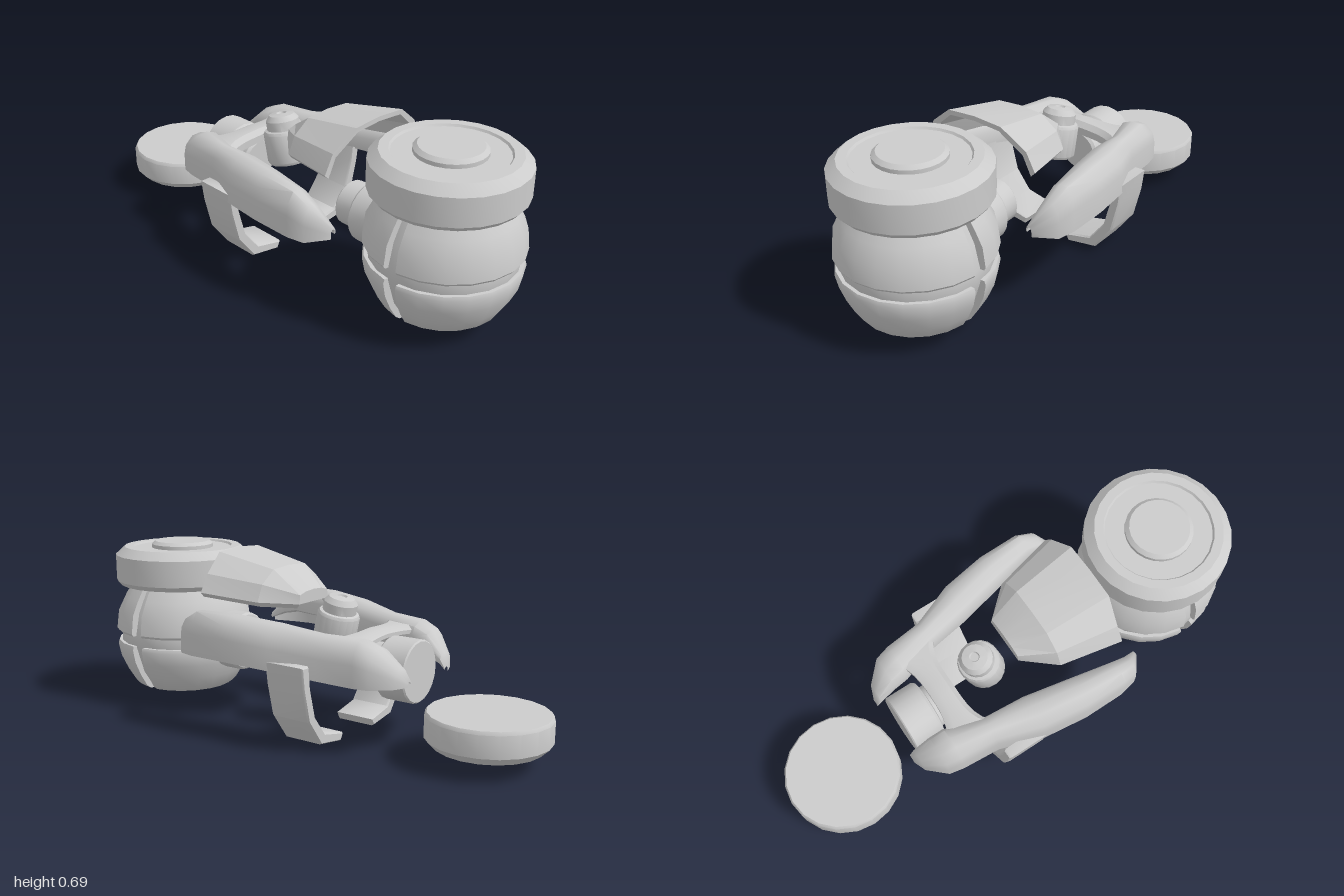
import * as THREE from 'three';
import { toCreasedNormals } from 'three/addons/utils/BufferGeometryUtils.js';

const mat = new THREE.MeshStandardMaterial({ color: 0xcccccc, side: THREE.DoubleSide });

// Skin closed cross-sections; each lists an outer line, then the inner line backwards
function loft(sections) {
  const n = sections[0].length, last = sections.length - 1;
  const pos = sections.flat(2), idx = [];
  const quad = (a, b, c, d) => idx.push(a, b, c, a, c, d);
  for (let s = 0; s < last; s++) {
    for (let i = 0; i < n; i++) {
      const j = (i + 1) % n, a = s * n, b = a + n;
      quad(a + i, a + j, b + j, b + i);
    }
  }
  // end caps join outer and inner lines
  for (let i = 0; i < n / 2 - 1; i++) {
    const k = n - 1 - i, e = last * n;
    quad(i, k, k - 1, i + 1);
    quad(e + i, e + i + 1, e + k - 1, e + k);
  }
  // turn faces outward if the enclosed volume is negative
  let volume = 0;
  const p = (i) => new THREE.Vector3().fromArray(pos, idx[i] * 3);
  for (let i = 0; i < idx.length; i += 3) volume += p(i).dot(p(i + 1).cross(p(i + 2)));
  if (volume < 0) idx.reverse();
  const g = new THREE.BufferGeometry();
  g.setAttribute('position', new THREE.Float32BufferAttribute(pos, 3));
  g.setIndex(idx);
  return g;
}

const lathe = (pts, sides = 20) =>
  new THREE.LatheGeometry(pts.map(([r, y]) => new THREE.Vector2(r, y)), sides);

export function createModel() {
  const model = new THREE.Group();
  const add = (name, geo, x = 0, y = 0, z = 0, crease = 0.6) => {
    const m = new THREE.Mesh(toCreasedNormals(geo, crease), mat);
    m.name = name;
    m.position.set(x, y, z);
    model.add(m);
    return m;
  };

  // Round pot: recessed core, open at the base
  const potX = 0.7;
  add('potCore', lathe([
    [0, 0.13], [0.12, 0.13], [0.12, 0.075], [0.19, 0.08], [0.235, 0.15],
    [0.27, 0.26], [0.27, 0.31], [0.25, 0.4], [0.2, 0.5], [0, 0.5],
  ]), potX);

  // Pot shell: four panels with an equator groove and a front and back groove
  const lower = [[0.2, 0.07], [0.22, 0.085], [0.25, 0.135], [0.277, 0.195], [0.288, 0.25], [0.283, 0.265]];
  const upper = [[0.283, 0.308], [0.29, 0.318], [0.28, 0.395], [0.25, 0.455], [0.215, 0.51]];
  for (const [name, line] of [['lowerPanel', lower], ['upperPanel', upper]]) {
    const loop = [...line, ...line.map(([r, y]) => [r - 0.04, y]).reverse()];
    for (const side of [0, Math.PI]) {
      const sections = [];
      for (let i = 0; i <= 10; i++) {
        const a = side - Math.PI / 2 + 0.09 + (i / 10) * (Math.PI - 0.18);
        sections.push(loop.map(([r, y]) => [r * Math.cos(a), y, r * Math.sin(a)]));
      }
      add(name, loft(sections), potX);
    }
  }

  // Lid with a ring groove and a raised centre
  add('potLid', lathe([
    [0, 0.505], [0.265, 0.505], [0.282, 0.525], [0.282, 0.632], [0.245, 0.665],
    [0.21, 0.665], [0.204, 0.657], [0.13, 0.657], [0.13, 0.672], [0.115, 0.685], [0, 0.685],
  ], 24), potX);

  // Separate flat disc with a recessed underside
  add('looseDisc', lathe([
    [0, 0.042], [0.1, 0.042], [0.125, 0.058], [0.125, 0.09], [0.175, 0.09],
    [0.185, 0.065], [0.2, 0.065], [0.23, 0.095], [0.23, 0.178], [0.222, 0.19], [0, 0.19],
  ]), -0.77);

  // Side arms: inverted channels. Stations are x, inner z, outer z, bottom y, top y
  const stations = [
    [-0.52, 0.12, 0.15, 0.27, 0.29], [-0.5, 0.12, 0.2, 0.27, 0.335],
    [-0.43, 0.125, 0.265, 0.27, 0.41], [-0.37, 0.13, 0.277, 0.27, 0.435],
    [-0.22, 0.18, 0.29, 0.275, 0.44], [-0.05, 0.2, 0.355, 0.3, 0.465],
    [0.13, 0.24, 0.38, 0.31, 0.48], [0.3, 0.275, 0.38, 0.31, 0.48],
    [0.37, 0.28, 0.365, 0.31, 0.44], [0.43, 0.268, 0.295, 0.32, 0.36],
  ];
  // outer line across the arm: fraction of width, fraction of height
  const armLine = [[1, 0], [1, 0.5], [0.93, 0.77], [0.68, 0.99], [0.4, 1], [0.12, 0.9], [0, 0.7], [0, 0.42]];
  for (const s of [1, -1]) {
    add('sideArm', loft(stations.map(([x, zi, zo, yb, yt]) => {
      const w = zo - zi, h = yt - yb, t = Math.min(0.16, 0.025 / w);
      const at = (u, v) => [x, yb + v * h, s * (zi + u * w)];
      const outer = armLine.map(([u, v]) => at(u, v));
      const inner = armLine.map(([u, v]) => at(0.5 + (u - 0.5) * (1 - 2 * t), v * 0.87));
      return [...outer, ...inner.reverse()];
    })), 0, 0, 0, 0.9);

    // Hooked clip hanging from the arm
    const hook = new THREE.Shape([
      [0.352, 0.33], [0.342, 0.25], [0.312, 0.125], [0.238, 0.024], [0.115, 0.005],
      [0.104, 0.027], [0.218, 0.052], [0.282, 0.135], [0.312, 0.25], [0.32, 0.33],
    ].map(([z, y]) => new THREE.Vector2(s * z, y)));
    const hookGeo = new THREE.ExtrudeGeometry(hook, {
      depth: 0.155, bevelEnabled: true, bevelSize: 0.005, bevelThickness: 0.008, bevelSegments: 1,
    });
    hookGeo.rotateY(-Math.PI / 2);
    add('hookClip', hookGeo, -0.05);
  }

  // Bridge joining the arms, arched over the end barrel
  const bridge = [];
  for (let i = -6; i <= 6; i++) {
    const u = Math.abs(i) / 6, z = (i / 6) * 0.21;
    const x0 = -0.34 - 0.06 * u ** 3, x1 = -0.242 + 0.05 * u ** 4, y = 0.428 - 0.01 * u;
    bridge.push([
      [x0, y - 0.015, z], [x0 + 0.03, y, z], [x1 - 0.02, y, z], [x1, y - 0.02, z],
      [x1, y - 0.05, z], [x1 - 0.02, y - 0.03, z], [x0 + 0.03, y - 0.025, z], [x0, y - 0.03, z],
    ]);
  }
  add('bridge', loft(bridge));

  // Stepped barrels at both ends, lying along x
  for (const [x, dir, len] of [[-0.26, -1, 0.225], [0.245, 1, 0.19]]) {
    const g = lathe([
      [0, 0], [0.078, 0], [0.088, 0.01], [0.088, 0.09], [0.112, 0.095],
      [0.12, 0.105], [0.12, len - 0.005], [0.115, len], [0, len],
    ]);
    g.rotateZ(-dir * Math.PI / 2);
    add('endBarrel', g, x, 0.29);
  }

  // Tilted knob between the arms
  const knob = add('knob', lathe([
    [0, 0], [0.075, 0], [0.083, 0.012], [0.083, 0.125], [0.077, 0.135], [0.066, 0.138],
    [0.066, 0.175], [0.05, 0.195], [0.02, 0.2], [0.016, 0.193], [0, 0.193],
  ], 18), -0.092, 0.34);
  knob.rotation.z = 0.22;

  // Faceted hood: half lines of [x, y, z] from the centre out to the rim
  const hoodLines = [
    [[0, 0.5, 0], [0, 0.5, 0.05], [0, 0.5, 0.085], [0, 0.498, 0.09]],
    [[0, 0.548, 0], [0, 0.545, 0.05], [0, 0.535, 0.088], [0, 0.5, 0.093]],
    [[0.12, 0.632, 0], [0.12, 0.625, 0.1], [0.12, 0.575, 0.17], [0.12, 0.51, 0.2]],
    [[0.38, 0.683, 0], [0.38, 0.675, 0.12], [0.36, 0.6, 0.215], [0.362, 0.53, 0.255]],
  ];
  add('hood', loft(hoodLines.map((half, k) => {
    const outer = [...half.slice(1).reverse().map(([x, y, z]) => [x, y, -z]), ...half];
    const dx = k < 2 ? 0.015 : 0;
    const inner = outer.map(([x, y, z]) => [x + dx, y - (k ? 0.018 : 0), z * 0.93]);
    return [...outer, ...inner.reverse()];
  })), 0, 0, 0, 0.3);

  return model;
}
